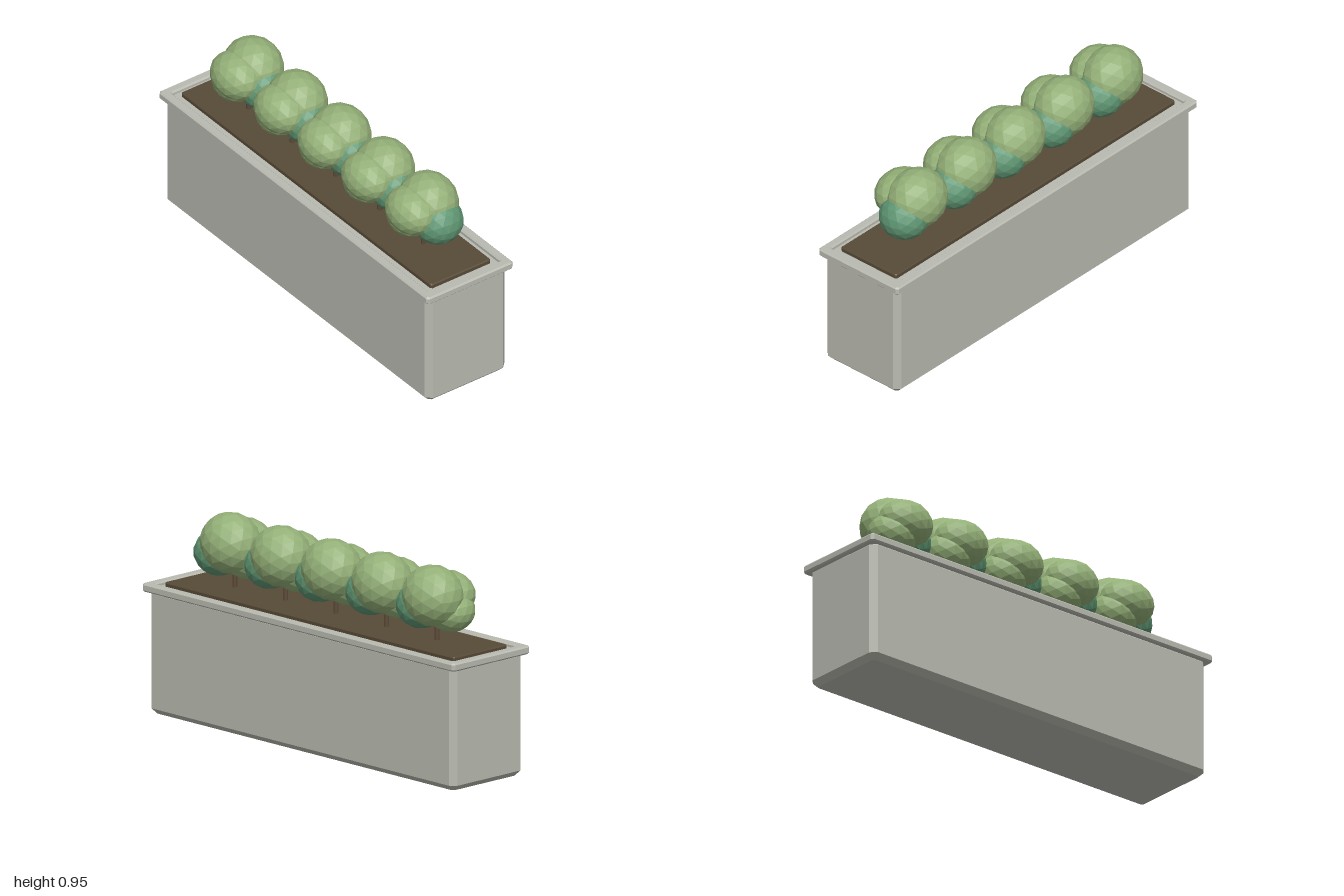
import * as THREE from 'three';

const material = (name, color, flatShading = false) => {
  const m = new THREE.MeshStandardMaterial({ color, flatShading });
  m.name = name;
  return m;
};

// Rectangle with cut corners, as a Shape or Path
function cutRect(Type, hx, hz, c) {
  const p = new Type();
  p.moveTo(-hx + c, -hz);
  [[hx - c, -hz], [hx, -hz + c], [hx, hz - c], [hx - c, hz],
    [-hx + c, hz], [-hx, hz - c], [-hx, -hz + c]].forEach(([x, y]) => p.lineTo(x, y));
  p.closePath();
  return p;
}

// Upright slab between y0 and y1 with chamfered edges
function chamferedSlab(shape, y0, y1, c) {
  const g = new THREE.ExtrudeGeometry(shape, {
    depth: y1 - y0 - 2 * c, bevelEnabled: true, bevelSegments: 1,
    bevelSize: c, bevelThickness: c, bevelOffset: -c,
  });
  g.rotateX(-Math.PI / 2);
  g.translate(0, y0 + c, 0);
  return g;
}

export function createModel() {
  const concrete = material('concrete', 0xb9bab0);
  const soilBrown = material('soil brown', 0x574a37);
  const bark = material('bark', 0x5c4a38, true);
  const lightLeaf = material('light leaf', 0x94b078, true);
  const darkLeaf = material('dark leaf', 0x5f9673, true);

  const model = new THREE.Group();
  model.name = 'planter';
  const add = (parent, name, geometry, mat) => {
    const mesh = new THREE.Mesh(geometry, mat);
    mesh.name = name;
    parent.add(mesh);
    return mesh;
  };

  // Trough
  add(model, 'troughBody', chamferedSlab(cutRect(THREE.Shape, 0.98, 0.222, 0.027), 0, 0.582, 0.027), concrete);

  // Raised rim around the top
  const rim = cutRect(THREE.Shape, 1, 0.24, 0.012);
  rim.holes.push(cutRect(THREE.Path, 0.955, 0.198, 0.006));
  add(model, 'rim', chamferedSlab(rim, 0.56, 0.598, 0.007), concrete);

  // Soil bed
  add(model, 'soil', chamferedSlab(cutRect(THREE.Shape, 0.928, 0.167, 0.008), 0.565, 0.603, 0.005), soilBrown);

  // Row of five small trees
  const trunk = new THREE.CylinderGeometry(0.01, 0.012, 0.18, 7);
  const leafBall = new THREE.IcosahedronGeometry(1, 2);
  const clumps = [
    ['topClump', [-0.008, 0.813, -0.033], [0.15, 0.14, 0.133], lightLeaf],
    ['frontClump', [-0.008, 0.805, 0.06], [0.137, 0.108, 0.112], lightLeaf],
    ['lowerClump', [-0.055, 0.745, 0.03], [0.117, 0.1, 0.108], lightLeaf],
    ['sideClump', [0.072, 0.757, -0.028], [0.115, 0.108, 0.116], darkLeaf],
  ];
  for (let i = 0; i < 5; i++) {
    const tree = new THREE.Group();
    tree.name = `tree${i + 1}`;
    tree.position.x = (i - 2) * 0.324;
    add(tree, 'trunk', trunk, bark).position.y = 0.68;
    for (const [name, position, size, mat] of clumps) {
      const clump = add(tree, name, leafBall, mat);
      clump.position.set(...position);
      clump.scale.set(...size);
    }
    model.add(tree);
  }
  return model;
}
